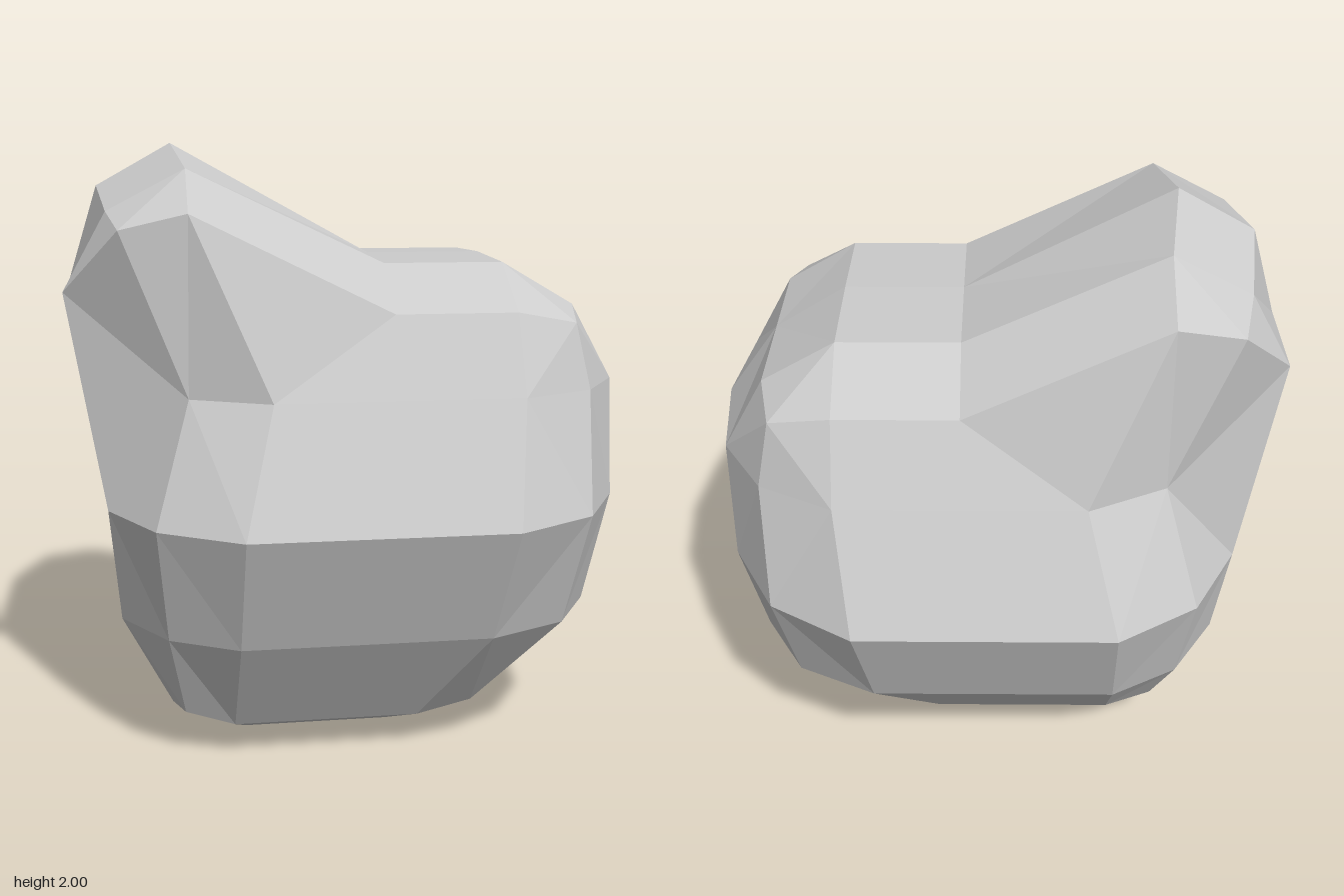
import * as THREE from 'three';

// Ring of 16 points from its front half, listed from the -x end round to the +x end.
// y is one height or nine heights; dz slides the whole ring along z.
function ring(xs, y, zs, dz = 0) {
  const half = xs.map((x, i) => new THREE.Vector3(x, Array.isArray(y) ? y[i] : y, zs[i]));
  const back = half.slice(1, 8).reverse().map((p) => new THREE.Vector3(p.x, p.y, -p.z));
  return [...half, ...back].map((p) => p.setZ(p.z + dz));
}

// Faceted skin through the rings from bottom to top, closed by a fan at each end.
function skin(rings, bottom, top) {
  const positions = [];
  const tri = (a, b, c) => {
    if (a.equals(b) || b.equals(c) || c.equals(a)) return; // collapsed corner
    for (const p of [a, b, c]) positions.push(p.x, p.y, p.z);
  };
  const n = rings[0].length;
  for (let i = 0; i < n; i++) {
    const j = (i + 1) % n;
    for (let k = 0; k < rings.length - 1; k++) {
      const a = rings[k][i], b = rings[k][j], c = rings[k + 1][j], d = rings[k + 1][i];
      // Fold each quad along its shorter diagonal
      if (a.distanceTo(c) <= b.distanceTo(d)) {
        tri(a, b, c);
        tri(a, c, d);
      } else {
        tri(a, b, d);
        tri(b, c, d);
      }
    }
    tri(bottom, rings[0][j], rings[0][i]);
    tri(top, rings[rings.length - 1][i], rings[rings.length - 1][j]);
  }
  const geometry = new THREE.BufferGeometry();
  geometry.setAttribute('position', new THREE.Float32BufferAttribute(positions, 3));
  geometry.computeVertexNormals();
  return geometry;
}

export function createModel() {
  const group = new THREE.Group();
  group.name = 'rock';

  // Small flat base; its corner points coincide
  const base = ring(
    [-0.36, -0.36, -0.36, -0.36, -0.1, 0.13, 0.13, 0.13, 0.13], 0.01,
    [0, 0.21, 0.21, 0.21, 0.21, 0.21, 0.21, 0.21, 0], 0.03);

  // Underside edge
  const foot = ring(
    [-0.61, -0.61, -0.57, -0.41, -0.1, 0.2, 0.39, 0.41, 0.41],
    [0.12, 0.12, 0.16, 0.12, 0.12, 0.12, 0.15, 0.12, 0.12],
    [0, 0.22, 0.41, 0.44, 0.44, 0.44, 0.41, 0.22, 0], 0.03);

  // Belly
  const lower = ring(
    [-0.77, -0.77, -0.62, -0.4, 0, 0.4, 0.66, 0.8, 0.84], 0.46,
    [0, 0.34, 0.57, 0.69, 0.69, 0.69, 0.57, 0.34, 0]);
  const widest = ring(
    [-0.81, -0.8, -0.65, -0.39, 0, 0.44, 0.71, 0.86, 0.91], 0.85,
    [0, 0.42, 0.69, 0.85, 0.85, 0.85, 0.69, 0.42, 0]);

  // Shoulder, lifted under the raised lobe
  const shoulder = ring(
    [-0.92, -0.92, -0.54, -0.29, 0.1, 0.49, 0.73, 0.87, 0.91],
    [1.54, 1.54, 1.23, 1.23, 1.23, 1.23, 1.23, 1.23, 1.23],
    [0, 0.34, 0.56, 0.68, 0.68, 0.68, 0.56, 0.34, 0]);

  // Rim of the top and of the raised lobe
  const rim = ring(
    [-0.82, -0.78, -0.74, -0.53, 0.1, 0.49, 0.69, 0.73, 0.73],
    [1.86, 1.79, 1.74, 1.79, 1.48, 1.48, 1.44, 1.48, 1.48],
    [-0.04, 0.34, 0.52, 0.56, 0.56, 0.56, 0.52, 0.34, 0]);

  // Crown, sloping down from the lobe; its corner points coincide
  const crown = ring(
    [-0.57, -0.53, -0.53, -0.53, 0.1, 0.49, 0.49, 0.49, 0.49],
    [2, 1.92, 1.92, 1.92, 1.62, 1.62, 1.62, 1.62, 1.63],
    [-0.04, 0.34, 0.34, 0.34, 0.34, 0.34, 0.34, 0.34, 0]);

  const body = new THREE.Mesh(
    skin([base, foot, lower, widest, shoulder, rim, crown],
      new THREE.Vector3(-0.1, 0, 0.03), new THREE.Vector3(0.1, 1.63, 0)),
    new THREE.MeshStandardMaterial({ color: 0xcccccc, flatShading: true }));
  body.name = 'rockBody';
  group.add(body);
  return group;
}
